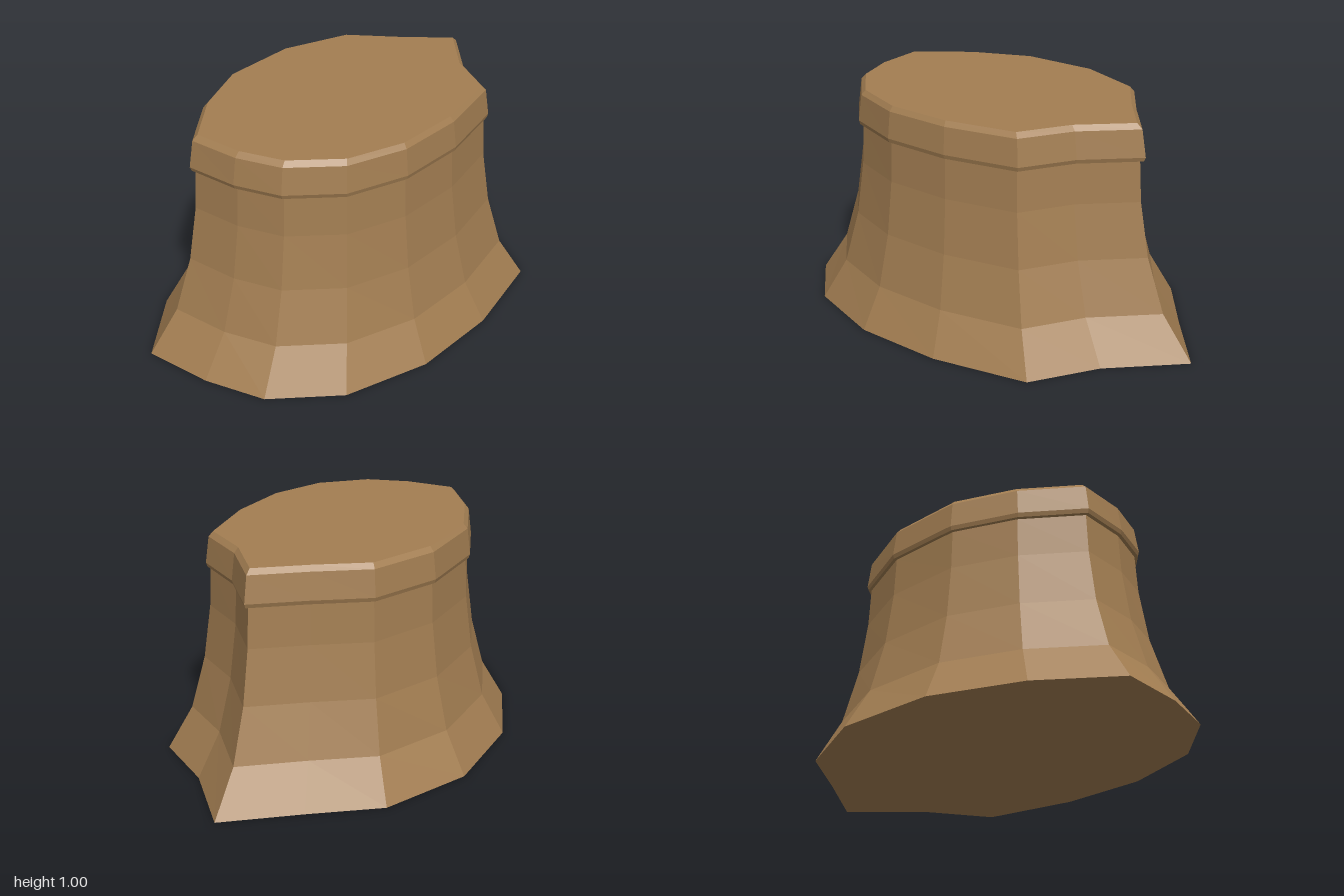
import * as THREE from 'three';

// Matching outlines [x, z] of the foot and of the rim's widest ring, starting at the pointed end
const foot = [
  [1, 0.04], [0.725, 0.31], [0.555, 0.59], [0.125, 0.68], [-0.285, 0.675], [-0.66, 0.55], [-0.9, 0.31],
  [-0.975, 0.04], [-1, -0.27], [-0.695, -0.505], [-0.31, -0.67], [0.155, -0.685], [0.555, -0.515], [0.765, -0.245],
];
const rimEdge = [
  [0.735, 0.04], [0.53, 0.235], [0.4, 0.455], [0.07, 0.525], [-0.245, 0.52], [-0.51, 0.425], [-0.69, 0.24],
  [-0.755, 0.04], [-0.77, -0.195], [-0.535, -0.375], [-0.255, -0.495], [0.105, -0.5], [0.415, -0.38], [0.57, -0.165],
];

// Ring at height y; t = 0 is the rim outline, t = 1 the foot
const ring = ([y, t]) => rimEdge.map(([x, z], i) => [x + (foot[i][0] - x) * t, y, z + (foot[i][1] - z) * t]);

// Flat-faced skin through rings listed from bottom to top, with optional end caps
function loft(levels, capBottom, capTop) {
  const rings = levels.map(ring);
  const n = rimEdge.length;
  const pos = [];
  const tri = (a, b, c) => pos.push(...a, ...b, ...c);
  for (let i = 0; i < n; i++) {
    const j = (i + 1) % n;
    for (let k = 0; k < rings.length - 1; k++) {
      const lo = rings[k], hi = rings[k + 1];
      tri(lo[i], hi[i], hi[j]);
      tri(lo[i], hi[j], lo[j]);
    }
    const first = rings[0], last = rings[rings.length - 1];
    if (capBottom) tri([0, first[0][1], 0], first[i], first[j]);
    if (capTop) tri([0, last[0][1], 0], last[j], last[i]);
  }
  const geo = new THREE.BufferGeometry();
  geo.setAttribute('position', new THREE.Float32BufferAttribute(pos, 3));
  geo.computeVertexNormals();
  return geo;
}

export function createModel() {
  const group = new THREE.Group();
  group.name = 'pedestal';
  const clay = new THREE.MeshStandardMaterial({ color: 0xa37e52 });
  clay.name = 'brown clay';

  const add = (name, geometry) => {
    const mesh = new THREE.Mesh(geometry, clay);
    mesh.name = name;
    group.add(mesh);
  };

  // Flared body with closed underside
  add('flaredBody', loft([[0, 1], [0.185, 0.44], [0.42, 0.115], [0.66, -0.055], [0.838, -0.1]], true, false));
  // Overhanging rim with bevelled edges and flat top
  add('rim', loft([[0.838, -0.1], [0.84, -0.03], [0.858, 0], [0.975, -0.08], [0.997, -0.18]], false, true));
  return group;
}
